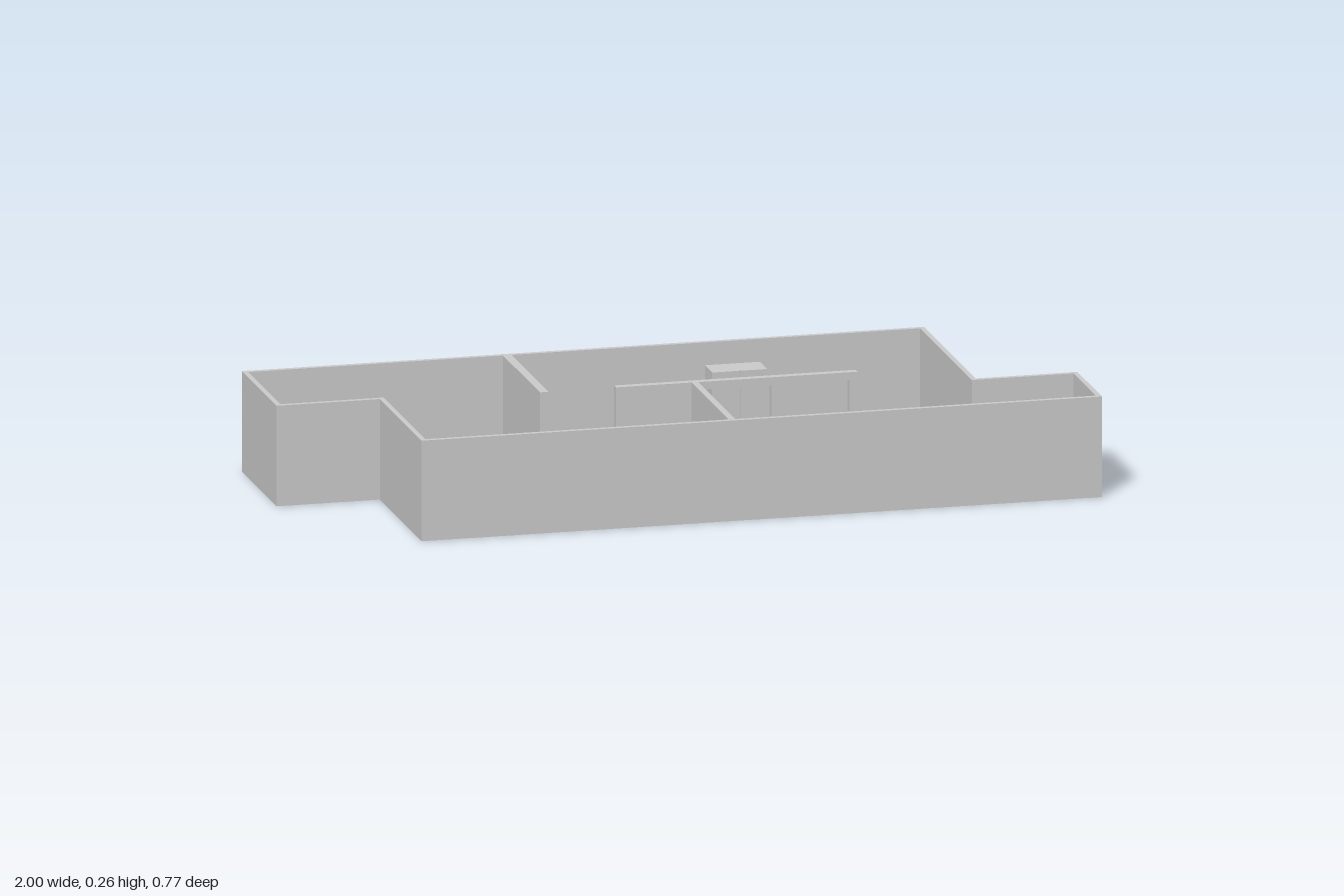
import * as THREE from 'three';

const HEIGHT = 0.257, WALL = 0.013, FLOOR = 0.013;

// Outer corners (x, z), clockwise from above, with the direction in which each one is inset
const corners = [
  [-1, -0.383, 1, 1], [0.741, -0.383, -1, 1], [0.741, 0.135, -1, 1], [1, 0.135, -1, 1],
  [1, 0.383, -1, -1], [-0.737, 0.383, 1, -1], [-0.737, -0.035, 1, -1], [-1, -0.035, 1, -1],
];

const outline = (inset) =>
  corners.map(([x, z, sx, sz]) => new THREE.Vector2(x + sx * inset, -(z + sz * inset)));

export function createModel() {
  const model = new THREE.Group();
  model.name = 'openRoofHouse';
  const material = new THREE.MeshStandardMaterial({ color: 0xcccccc });

  const add = (parent, name, geometry) => {
    const mesh = new THREE.Mesh(geometry, material);
    mesh.name = name;
    parent.add(mesh);
    return mesh;
  };
  // Box given by its extents along each axis
  const box = (parent, name, [x0, x1], [y0, y1], [z0, z1]) =>
    add(parent, name, new THREE.BoxGeometry(x1 - x0, y1 - y0, z1 - z0))
      .position.set((x0 + x1) / 2, (y0 + y1) / 2, (z0 + z1) / 2);
  const group = (name) => {
    const g = new THREE.Group();
    g.name = name;
    model.add(g);
    return g;
  };
  // Four square legs standing on the floor inside a rectangle
  const legs = (parent, name, [x0, x1], [z0, z1], top, size) => {
    for (const x of [x0, x1 - size])
      for (const z of [z0, z1 - size])
        box(parent, name, [x, x + size], [FLOOR, top], [z, z + size]);
  };

  // Floor slab
  const floorShape = new THREE.Shape(outline(0).reverse());
  const floor = new THREE.ExtrudeGeometry(floorShape, { depth: FLOOR, bevelEnabled: false });
  add(model, 'floor', floor.rotateX(-Math.PI / 2));

  // Outer walls as one ring; the hole runs opposite to the outline so its faces look inwards
  const ring = new THREE.Shape(outline(0).reverse());
  ring.holes.push(new THREE.Path(outline(WALL)));
  const walls = new THREE.ExtrudeGeometry(ring, { depth: HEIGHT - FLOOR, bevelEnabled: false });
  add(model, 'outerWalls', walls.rotateX(-Math.PI / 2)).position.y = FLOOR;

  // Solid partitions
  box(model, 'backPartition', [-0.337, -0.315], [FLOOR, HEIGHT], [-0.37, 0]);
  box(model, 'frontPartition', [0.05, 0.067], [FLOOR, HEIGHT], [0, 0.37]);

  // Middle partition with three window openings
  const x0 = -0.143, x1 = 0.473, post = 0.02, count = 3;
  const width = (x1 - x0 - post * (count + 1)) / count;
  const panel = new THREE.Shape([
    new THREE.Vector2(x0, FLOOR), new THREE.Vector2(x1, FLOOR),
    new THREE.Vector2(x1, HEIGHT), new THREE.Vector2(x0, HEIGHT),
  ]);
  for (let i = 0; i < count; i++) {
    const a = x0 + post + i * (width + post), b = a + width;
    panel.holes.push(new THREE.Path([
      new THREE.Vector2(a, 0.1), new THREE.Vector2(a, 0.237),
      new THREE.Vector2(b, 0.237), new THREE.Vector2(b, 0.1),
    ]));
  }
  add(model, 'windowPartition', new THREE.ExtrudeGeometry(panel, { depth: 0.02, bevelEnabled: false }))
    .position.z = -0.02;

  // Table in the front room
  const table = group('table'), tx = [-0.363, -0.105], tz = [0.23, 0.35];
  box(table, 'tableTop', tx, [0.082, 0.092], tz);
  legs(table, 'tableLeg', tx, tz, 0.082, 0.014);

  // Two-door cupboard on short legs against the back wall
  const cupboard = group('cupboard'), cx = [0.177, 0.318], cz = [-0.364, -0.291];
  const mid = (cx[0] + cx[1]) / 2;
  box(cupboard, 'cupboardBody', cx, [0.036, 0.2], [cz[0], cz[1] - 0.004]);
  box(cupboard, 'rightDoor', [cx[0], mid - 0.003], [0.036, 0.2], [cz[1] - 0.004, cz[1]]);
  box(cupboard, 'leftDoor', [mid + 0.003, cx[1]], [0.036, 0.2], [cz[1] - 0.004, cz[1]]);
  legs(cupboard, 'cupboardLeg', cx, cz, 0.036, 0.014);

  return model;
}
